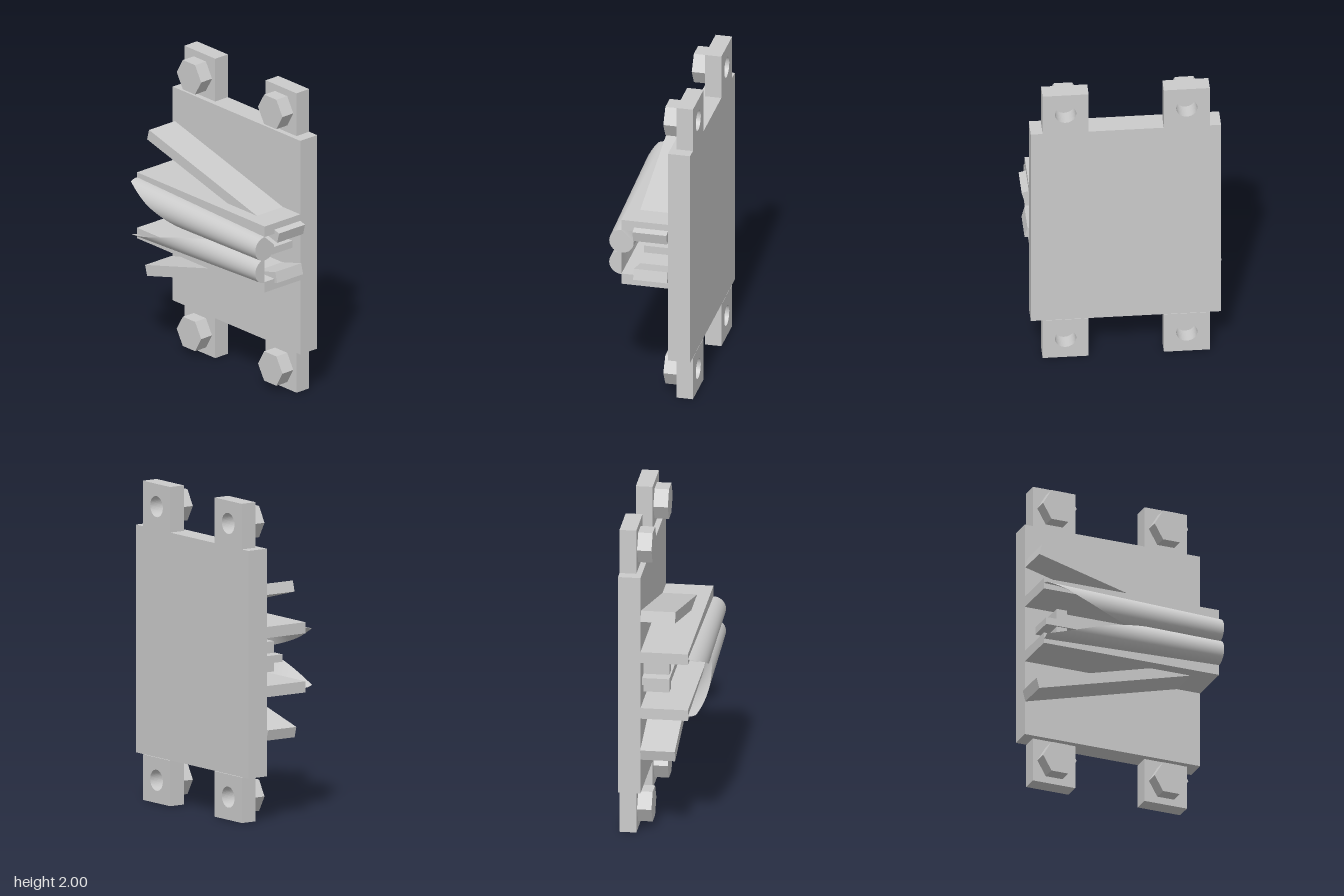
import * as THREE from 'three';

const mat = new THREE.MeshStandardMaterial({ color: 0xcccccc, side: THREE.DoubleSide });

// Box given by its limits on each axis
function box(name, x0, x1, y0, y1, z0, z1) {
  const m = new THREE.Mesh(new THREE.BoxGeometry(x1 - x0, y1 - y0, z1 - z0), mat);
  m.position.set((x0 + x1) / 2, (y0 + y1) / 2, (z0 + z1) / 2);
  m.name = name;
  return m;
}

// Linear interpolation through [x, value] pairs
function ramp(pairs, x) {
  for (let i = 1; i < pairs.length; i++) {
    const [xa, a] = pairs[i - 1], [xb, b] = pairs[i];
    if (x <= xb) return a + (b - a) * (x - xa) / (xb - xa);
  }
  return pairs[pairs.length - 1][1];
}

// Lofted lobe: a circular segment whose sweep opens up along x
function lobe(name, side, sweep) {
  const group = new THREE.Group();
  group.name = name;
  const x0 = -0.605, x1 = 0.573, NX = 48, NA = 28;
  const rows = [];
  for (let i = 0; i <= NX; i++) {
    const t = i / NX, x = x0 + (x1 - x0) * t;
    const r = 0.102 - 0.024 * t;
    const c = 1.003 + side * (0.087 - 0.013 * t);
    const total = THREE.MathUtils.degToRad(ramp(sweep, x));
    const row = [];
    for (let j = 0; j <= NA; j++) {
      const a = total * j / NA;
      row.push([x, c + side * r * Math.cos(a), 0.165 + r * Math.sin(a)]);
    }
    rows.push(row);
  }
  const add = (part, grid) => {
    const n = grid[0].length, index = [];
    for (let i = 0; i < grid.length - 1; i++)
      for (let j = 0; j < n - 1; j++) {
        const a = i * n + j, b = a + n;
        if (side > 0) index.push(a, a + 1, b, b, a + 1, b + 1);
        else index.push(a, b, a + 1, b, b + 1, a + 1);
      }
    const g = new THREE.BufferGeometry();
    g.setAttribute('position', new THREE.Float32BufferAttribute(grid.flat(2), 3));
    g.setIndex(index);
    g.computeVertexNormals();
    const m = new THREE.Mesh(g, mat);
    m.name = part;
    group.add(m);
  };
  add('curvedFace', rows);
  add('backFace', rows.map(r => [r[NA], r[0]]));
  // end caps: fans from the first point, written as a narrow grid
  add('leftCap', [rows[0].map(() => rows[0][0]), rows[0]]);
  add('rightCap', [rows[NX], rows[NX].map(() => rows[NX][0])]);
  return group;
}

export function createModel() {
  const model = new THREE.Group();

  // Backing plate
  model.add(box('backPlate', -0.605, 0.573, 0.29, 1.715, -0.27, -0.13));

  // Four drilled tabs with hexagonal bolt heads
  const tabShape = new THREE.Shape();
  tabShape.moveTo(-0.1425, -0.1425);
  tabShape.lineTo(0.1425, -0.1425);
  tabShape.lineTo(0.1425, 0.1425);
  tabShape.lineTo(-0.1425, 0.1425);
  tabShape.closePath();
  const hole = new THREE.Path();
  hole.absarc(0, 0, 0.066, 0, Math.PI * 2, true);
  tabShape.holes.push(hole);
  const tabGeo = new THREE.ExtrudeGeometry(tabShape, { depth: 0.105, bevelEnabled: false, curveSegments: 24 });
  const headGeo = new THREE.CylinderGeometry(0.113, 0.113, 0.09, 6).toNonIndexed();
  headGeo.rotateY(Math.PI / 6 + Math.PI / 3);
  headGeo.rotateX(Math.PI / 2);
  headGeo.computeVertexNormals();
  for (const x of [-0.393, 0.357])
    for (const y of [0.145, 1.8575]) {
      const tab = new THREE.Mesh(tabGeo, mat);
      tab.name = 'mountingTab';
      tab.position.set(x, y, -0.27);
      const head = new THREE.Mesh(headGeo, mat);
      head.name = 'boltHead';
      head.position.set(x, y, -0.12);
      model.add(tab, head);
    }

  // Two long rails carrying the lobes
  model.add(box('upperRail', -0.605, 0.573, 1.155, 1.225, -0.13, 0.165));
  model.add(box('lowerRail', -0.605, 0.573, 0.785, 0.855, -0.13, 0.165));

  // Slanted fins running through the rails
  for (const [name, x, y, angle] of [
    ['upperFin', 0.008, 1.297, -1], ['lowerFin', -0.01, 0.707, 1]]) {
    const fin = new THREE.Mesh(new THREE.BoxGeometry(1.243, 0.07, 0.215), mat);
    fin.name = name;
    fin.position.set(x, y, -0.0225);
    fin.rotation.z = angle * Math.PI / 12;
    model.add(fin);
  }

  // Centre rib and cross bar between the rails
  model.add(box('centreRib', -0.535, 0.5, 0.98, 1.027, -0.13, 0.04));
  model.add(box('crossBar', -0.46, -0.39, 0.91, 1.1, -0.13, 0.03));

  // Curling lobes on the front
  model.add(lobe('upperLobe', 1, [[-0.605, 30], [-0.4, 88], [-0.05, 165], [0.573, 275]]));
  model.add(lobe('lowerLobe', -1, [[-0.605, 30], [-0.4, 66], [-0.2, 102], [0, 135], [0.15, 165], [0.573, 180]]));

  return model;
}
